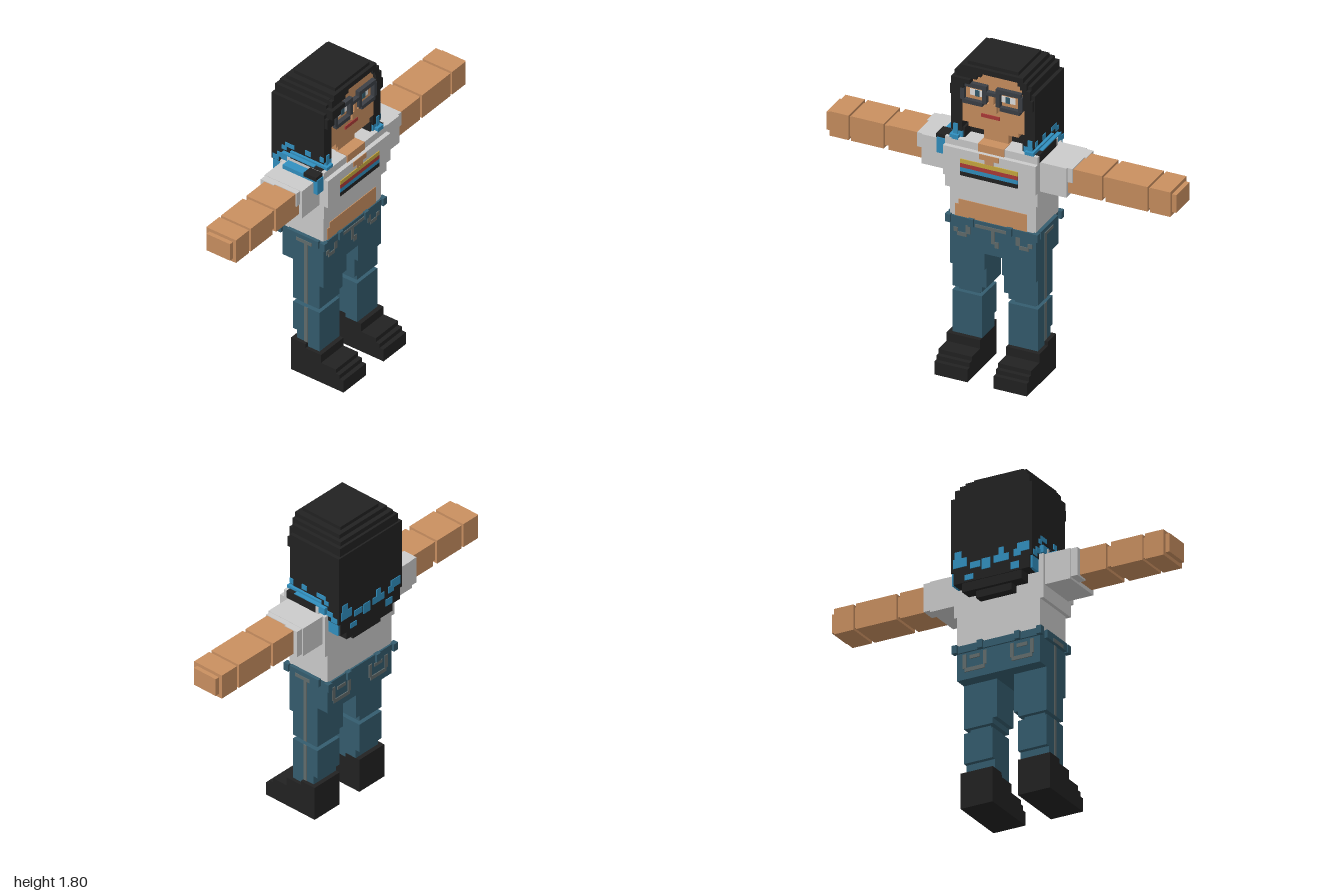
import * as THREE from 'three';

const mat = (name, color) => {
  const m = new THREE.MeshStandardMaterial({ color });
  m.name = name;
  return m;
};

export function createModel() {
  const skin = mat('skin', 0xc98f60), shirt = mat('shirt', 0xcbcbcb), denim = mat('denim', 0x345c6e),
    black = mat('black', 0x222222), blue = mat('blue', 0x318fbf), seam = mat('seam', 0x626c6c),
    red = mat('red', 0xae3b38), yellow = mat('yellow', 0xc9ab40), glass = mat('glasses', 0x3c4046),
    white = mat('eyeWhite', 0xe2e2e2);
  const C = -0.025; // body axis
  const root = new THREE.Group();
  root.name = 'figure';
  const part = (name) => {
    const g = new THREE.Group();
    g.name = name;
    root.add(g);
    return g;
  };
  // Box from its limits
  const box = (g, name, m, x0, x1, y0, y1, z0, z1) => {
    const mesh = new THREE.Mesh(new THREE.BoxGeometry(x1 - x0, y1 - y0, z1 - z0), m);
    mesh.position.set((x0 + x1) / 2, (y0 + y1) / 2, (z0 + z1) / 2);
    mesh.name = name;
    g.add(mesh);
  };
  // Box on one side of the body axis, measured outward
  const side = (g, s, name, m, a, b, ...yz) =>
    box(g, name, m, Math.min(C + s * a, C + s * b), Math.max(C + s * a, C + s * b), ...yz);

  // Legs and boots
  for (const s of [-1, 1]) {
    const leg = part(s < 0 ? 'rightLeg' : 'leftLeg');
    for (const [y0, y1, zb, zf] of [[0, 0.075, -0.095, 0.245], [0.075, 0.1, -0.095, 0.22],
      [0.1, 0.125, -0.095, 0.195], [0.125, 0.175, -0.095, 0.1], [0.175, 0.2, -0.095, 0]])
      side(leg, s, 'boot', black, 0.075, 0.265, y0, y1, zb, zf);
    side(leg, s, 'shin', denim, 0.075, 0.245, 0.175, 0.25, -0.07, 0.075);
    side(leg, s, 'shin', denim, 0.075, 0.245, 0.25, 0.42, -0.095, 0.075);
    side(leg, s, 'knee', denim, 0.1, 0.22, 0.41, 0.46, -0.07, 0.05);
    side(leg, s, 'thigh', denim, 0.075, 0.245, 0.445, 0.475, -0.095, 0.075);
    side(leg, s, 'thigh', denim, 0.05, 0.245, 0.475, 0.59, -0.095, 0.075);
    side(leg, s, 'thigh', denim, 0.05, 0.245, 0.59, 0.7, -0.095, 0.1);
    for (const [y0, y1] of [[0.2, 0.42], [0.445, 0.84]])
      side(leg, s, 'legSeam', seam, 0.244, 0.248, y0, y1, -0.022, 0);
  }

  // Hips, waistband and pocket stitching
  const hips = part('hips');
  box(hips, 'seat', denim, -0.27, 0.22, 0.69, 0.86, -0.165, 0.1);
  box(hips, 'waist', denim, -0.27, 0.22, 0.84, 0.88, -0.175, 0.11);
  for (const x of [-0.29, -0.16, 0.06, 0.21]) {
    box(hips, 'beltLoop', denim, x, x + 0.03, 0.84, 0.885, 0.09, 0.122);
    box(hips, 'beltLoop', denim, x, x + 0.03, 0.84, 0.885, -0.19, -0.16);
  }
  for (const s of [-1, 1]) {
    side(hips, s, 'beltLoop', denim, 0.24, 0.265, 0.84, 0.885, -0.12, 0.08);
    side(hips, s, 'beltPatch', seam, 0.264, 0.268, 0.84, 0.86, -0.06, 0.04);
    for (const [a, b, y0, y1] of [[0.2, 0.225, 0.785, 0.81], [0.15, 0.205, 0.765, 0.787], [0.13, 0.155, 0.785, 0.84]])
      side(hips, s, 'frontPocket', seam, a, b, y0, y1, 0.099, 0.104);
    for (const [a, b, y0, y1] of [[0.19, 0.21, 0.75, 0.83], [0.07, 0.09, 0.75, 0.83], [0.08, 0.2, 0.73, 0.752], [0.11, 0.17, 0.8, 0.82]])
      side(hips, s, 'backPocket', seam, a, b, y0, y1, -0.17, -0.164);
  }
  box(hips, 'fly', seam, -0.035, -0.015, 0.76, 0.84, 0.099, 0.104);
  box(hips, 'fly', seam, -0.015, 0.008, 0.74, 0.775, 0.099, 0.104);
  box(hips, 'waistLine', seam, -0.12, 0.07, 0.842, 0.86, 0.109, 0.114);

  // Torso and shirt
  const torso = part('torso');
  box(torso, 'shirtLower', shirt, -0.27, 0.22, 0.88, 1.07, -0.165, 0.1);
  box(torso, 'shirtHem', shirt, -0.29, 0.24, 1.05, 1.13, -0.165, 0.12);
  box(torso, 'chest', shirt, -0.29, 0.24, 1.13, 1.3, -0.165, 0.145);
  box(torso, 'shoulders', shirt, -0.29, 0.24, 1.3, 1.342, -0.12, 0.12);
  box(torso, 'midriff', skin, -0.24, 0.17, 0.88, 0.95, 0.099, 0.104);
  box(torso, 'midriff', skin, -0.22, 0.17, 0.95, 0.98, 0.099, 0.104);
  for (const [w, y0, y1] of [[0.075, 1.3, 1.345], [0.055, 1.27, 1.3], [0.025, 1.245, 1.27]])
    box(torso, 'neckline', skin, C - w, C + w, y0, y1, 0.05, y0 < 1.3 ? 0.149 : 0.125);
  [yellow, red, blue, black].forEach((m, i) =>
    box(torso, 'chestStripe', m, -0.19, 0.14, 1.222 - i * 0.024, 1.246 - i * 0.024, 0.144, 0.15));
  box(torso, 'neck', skin, -0.095, 0.045, 1.3, 1.45, -0.1, 0.06);

  // Arms: sleeve, jagged cuff, three segments with thin joints, rounded hand end
  const arms = [
    [-1, 'rightArm', 0.29, 0.44, [[0.4, 0.635], [0.665, 0.85], [0.865, 0.975]]],
    [1, 'leftArm', 0.24, 0.39, [[0.36, 0.585], [0.605, 0.845], [0.86, 0.975]]],
  ];
  for (const [s, name, a, b, segments] of arms) {
    const arm = part(name);
    const put = (n, m, u, v, ...yz) => box(arm, n, m, Math.min(s * u, s * v), Math.max(s * u, s * v), ...yz);
    put('sleeve', shirt, a - 0.01, b, 1.128, 1.3, -0.15, 0.09);
    put('cuff', shirt, b, b + 0.03, 1.215, 1.298, -0.145, 0.078);
    put('cuff', shirt, b, b + 0.04, 1.14, 1.298, -0.145, -0.06);
    for (const [u, v] of segments) put('armSegment', skin, u, v, 1.15, 1.294, -0.12, 0.072);
    put('armJoint', skin, 0.5, 0.9, 1.165, 1.28, -0.105, 0.057);
    put('handEnd', skin, 0.97, 1, 1.17, 1.275, -0.1, 0.052);
  }

  // Head and face
  const head = part('head');
  box(head, 'face', skin, -0.2, 0.155, 1.445, 1.755, -0.1, 0.1);
  box(head, 'jaw', skin, -0.165, 0.12, 1.42, 1.45, -0.1, 0.1);
  box(head, 'nose', skin, -0.05, 0.005, 1.54, 1.59, 0.09, 0.122);
  box(head, 'noseBridge', skin, -0.037, -0.012, 1.58, 1.64, 0.09, 0.122);
  box(head, 'mouth', red, -0.09, 0.015, 1.495, 1.515, 0.098, 0.105);
  for (const s of [-1, 1]) {
    side(head, s, 'eyeWhite', white, 0.05, 0.13, 1.61, 1.645, 0.098, 0.104);
    side(head, s, 'iris', denim, 0.075, 0.1, 1.61, 1.645, 0.102, 0.108);
    side(head, s, 'glassesTop', glass, 0.03, 0.17, 1.665, 1.69, 0.1, 0.125);
    side(head, s, 'glassesBottom', glass, 0.05, 0.165, 1.565, 1.588, 0.1, 0.125);
    side(head, s, 'glassesInner', glass, 0.027, 0.05, 1.585, 1.69, 0.1, 0.125);
    side(head, s, 'glassesOuter', glass, 0.155, 0.177, 1.585, 1.67, 0.1, 0.125);
  }
  box(head, 'glassesBridge', glass, -0.055, 0.005, 1.64, 1.66, 0.1, 0.125);

  // Hair: stepped cap, side locks, tapering back
  const hair = part('hair');
  for (const [w, y0, y1, zb, zf] of [[0.145, 1.78, 1.805, -0.165, 0.1], [0.18, 1.755, 1.785, -0.19, 0.12],
    [0.2, 1.73, 1.76, -0.215, 0.098], [0.22, 1.68, 1.735, -0.23, 0.098], [0.24, 1.38, 1.685, -0.24, 0.02]])
    box(hair, 'hairCap', black, C - w, C + w, y0, y1, zb, zf);
  for (const [x0, x1, y0, y1, zb, zf] of [[-0.265, 0.215, 1.27, 1.4, -0.24, -0.12], [-0.25, 0.2, 1.2, 1.27, -0.24, -0.16],
    [-0.2, 0.15, 1.15, 1.2, -0.235, -0.16], [-0.13, 0.08, 1.11, 1.15, -0.215, -0.16], [-0.25, 0.2, 1.34, 1.4, -0.13, 0.02]])
    box(hair, 'hairBack', black, x0, x1, y0, y1, zb, zf);
  for (const s of [-1, 1]) {
    side(hair, s, 'sideLock', black, 0.178, 0.24, 1.38, 1.685, -0.1, 0.1);
    side(hair, s, 'sideLockTip', black, 0.165, 0.225, 1.34, 1.4, -0.1, 0.09);
  }
  // Fringe steps framing the forehead
  for (const [xl, xr, y0, y1] of [[-0.2, 0.155, 1.6, 1.66], [-0.175, 0.155, 1.66, 1.69], [-0.14, 0.15, 1.69, 1.715],
    [-0.11, 0.14, 1.715, 1.735], [-0.085, 0.125, 1.735, 1.757]]) {
    const w = y1 > 1.73 ? 0.2 : y1 > 1.68 ? 0.22 : 0.235;
    const zf = y0 > 1.65 && y1 < 1.73 ? 0.14 : 0.12;
    box(hair, 'fringe', black, C - w, xl, y0, y1, 0.09, zf);
    box(hair, 'fringe', black, xr, C + w, y0, y1, 0.09, 0.12);
  }

  // Dyed tips: plates on the back [x, y, w, h]
  const tips = part('dyedTips');
  for (const [x, y, w, h] of [[-0.25, 1.3, 0.07, 0.05], [-0.2, 1.28, 0.04, 0.04], [-0.13, 1.27, 0.09, 0.04], [-0.1, 1.3, 0.03, 0.05],
    [-0.02, 1.25, 0.05, 0.06], [0.04, 1.27, 0.06, 0.035], [0.12, 1.29, 0.08, 0.05], [0.15, 1.34, 0.04, 0.04],
    [-0.19, 1.21, 0.05, 0.04], [0.08, 1.21, 0.05, 0.03]])
    box(tips, 'backTip', blue, x, x + w, y, y + h, -0.244, -0.238);
  for (const s of [-1, 1]) {
    // Side streaks [z, y, depth, height]
    for (const [z, y, d, h] of [[0.075, 1.385, 0.024, 0.03], [-0.02, 1.385, 0.035, 0.03], [-0.15, 1.385, 0.06, 0.025],
      [-0.17, 1.36, 0.03, 0.025], [-0.2, 1.3, 0.05, 0.03], [-0.23, 1.275, 0.04, 0.03]])
      side(tips, s, 'sideTip', blue, 0.238, 0.244, y, y + h, z, z + d);
    side(tips, s, 'shoulderTip', blue, 0.19, 0.24, 1.335, 1.36, -0.12, 0.12);
    side(tips, s, 'frontTip', blue, 0.2, 0.225, 1.355, 1.42, 0.08, 0.105);
    side(tips, s, 'frontTip', blue, 0.175, 0.2, 1.345, 1.38, 0.07, 0.1);
    side(tips, s, 'lowerTip', blue, 0.22, 0.237, 1.2, 1.29, -0.23, -0.165);
    side(tips, s, 'shoulderLock', black, 0.235, 0.265, 1.3, 1.345, -0.1, 0.1);
    side(tips, s, 'shoulderLock', blue, 0.225, 0.262, 1.31, 1.35, -0.16, 0.05);
  }
  // Lock hanging over the right shoulder
  box(tips, 'hangingLock', blue, -0.34, -0.285, 1.23, 1.32, 0.06, 0.115);
  box(tips, 'hangingLock', blue, -0.34, -0.28, 1.295, 1.325, -0.11, 0.06);
  box(tips, 'hangingLock', black, -0.345, -0.29, 1.315, 1.34, 0.03, 0.11);
  return root;
}
